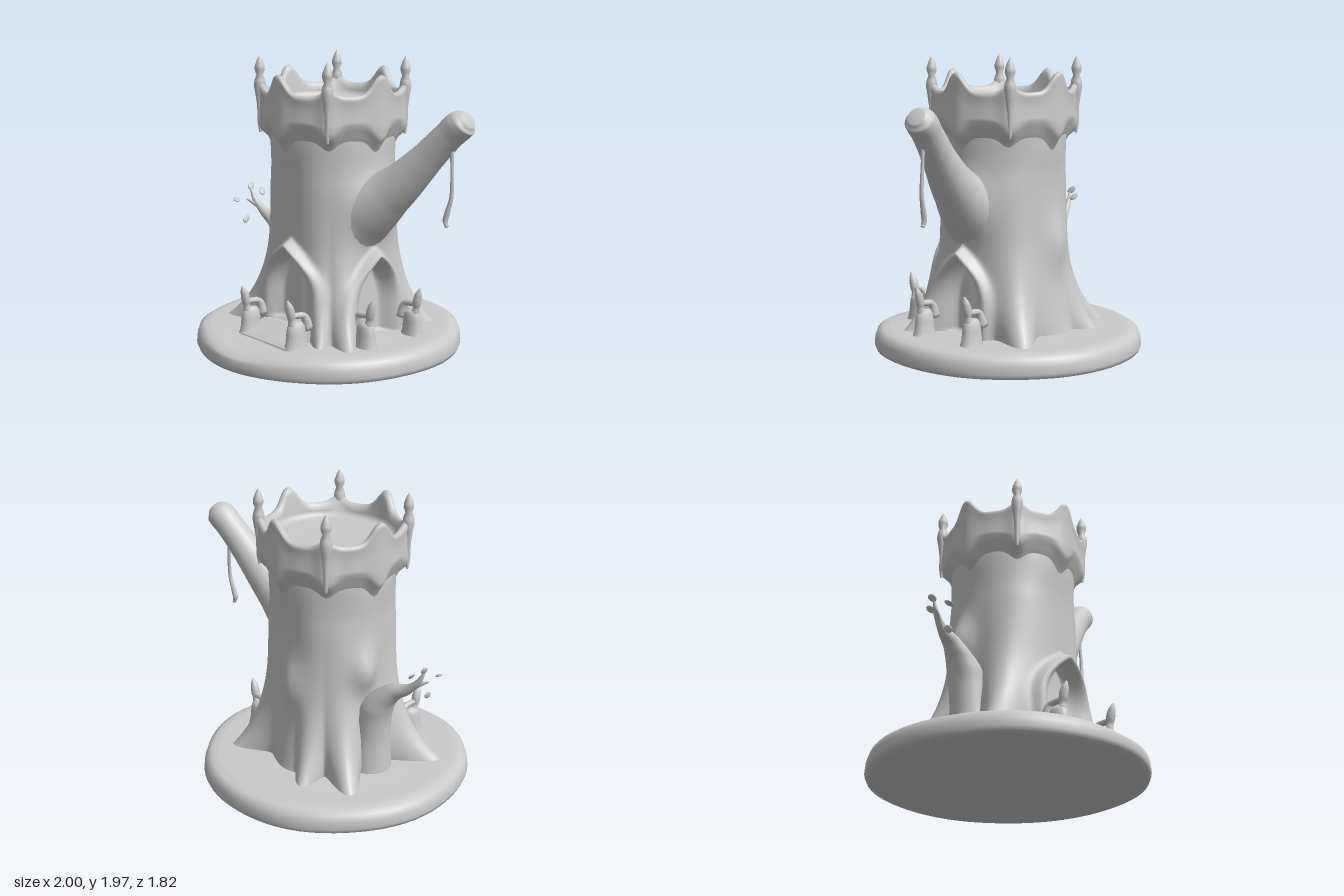
import * as THREE from 'three';

const CX = -0.065; // tower axis
const TAU = Math.PI * 2;
const material = new THREE.MeshStandardMaterial({ color: 0xcccccc, roughness: 0.8 });
const V = (x, y, z) => new THREE.Vector3(x, y, z);
const gauss = (d, w) => Math.exp(-((d / w) ** 2));
const wrap = (a) => Math.atan2(Math.sin(a), Math.cos(a));
const smooth = THREE.MathUtils.smoothstep;

function add(parent, name, geometry, x = 0, y = 0, z = 0) {
  const mesh = new THREE.Mesh(geometry, material);
  mesh.name = name;
  mesh.position.set(x, y, z);
  parent.add(mesh);
  return mesh;
}

// Surface of closed rings: fn(row, angle) gives each point
function ringSurface(rows, cols, fn) {
  const pos = [], idx = [];
  for (let i = 0; i < rows; i++)
    for (let j = 0; j < cols; j++) pos.push(...fn(i, (j / cols) * TAU));
  for (let i = 0; i < rows - 1; i++)
    for (let j = 0; j < cols; j++) {
      const a = i * cols + j, b = i * cols + ((j + 1) % cols);
      idx.push(a, b, a + cols, b, b + cols, a + cols);
    }
  const g = new THREE.BufferGeometry();
  g.setAttribute('position', new THREE.Float32BufferAttribute(pos, 3));
  g.setIndex(idx);
  g.computeVertexNormals();
  return g;
}
const polar = (t, r, y) => [r * Math.sin(t), y, r * Math.cos(t)];

// Tube whose radius follows its own list, closed at both ends
function taperTube(points, radii, rows = 32, cols = 16) {
  const curve = new THREE.CatmullRomCurve3(points.map((p) => V(...p)));
  const frames = curve.computeFrenetFrames(rows, false);
  return ringSurface(rows + 3, cols, (row, a) => {
    const i = Math.min(Math.max(row - 1, 0), rows), u = i / rows;
    const k = u * (radii.length - 1), n = Math.min(Math.floor(k), radii.length - 2);
    const end = row === 0 || row === rows + 2;
    const r = end ? 0 : THREE.MathUtils.lerp(radii[n], radii[n + 1], k - n);
    return curve.getPoint(u)
      .addScaledVector(frames.normals[i], r * Math.cos(a))
      .addScaledVector(frames.binormals[i], r * Math.sin(a)).toArray();
  });
}

const lathe = (profile, sides = 16) =>
  new THREE.LatheGeometry(profile.map(([r, y]) => new THREE.Vector2(r, y)), sides);

// Roots: [angle, reach, angular width]
const roots = [[-2.1, 0.29, 0.18], [-2.6, 0.2, 0.17], [2.48, 0.25, 0.2], [3.35, 0.07, 0.4],
  [-1.0, 0.33, 0.19], [1.0, 0.25, 0.18], [0.68, 0.18, 0.18]];
// Pointed doorways sunk into the trunk
const doors = [
  { angle: 0.08, half: 0.17, sill: 0.25, spring: 0.42, apex: 0.74, frame: 0.06 },
  { angle: Math.PI / 2, half: 0.14, sill: 0.16, spring: 0.34, apex: 0.67, frame: 0.065 },
];

function trunkRadius(t, y) {
  let r = 0.403 + 0.012 * smooth(y, 1.2, 1.45) + 0.025 * (1 - smooth(y, 0.2, 0.8));
  r += 0.012 * Math.cos(4 * t + Math.PI) * (1 - smooth(y, 1.1, 1.4));
  let flare = 0;
  for (const [a, reach, w] of roots) {
    const fade = Math.exp(-(y - 0.15) / 0.25);
    flare = Math.max(flare, reach * fade * gauss(wrap(t - a), w * (1.6 - 0.6 * fade)));
  }
  // bark swellings on the left, the back and around the big branch
  r += 0.075 * gauss(wrap(t + 1.75), 0.22) * gauss(y - 0.87, 0.15);
  r += 0.015 * gauss(wrap(t + 1.6), 0.35) * gauss(y - 1.1, 0.2);
  r += 0.045 * gauss(wrap(t - 3.3), 0.25) * gauss(y - 0.75, 0.17);
  r += 0.1 * gauss(wrap(t - 1.6), 0.45) * gauss(y - 1.03, 0.2);
  for (const d of doors) {
    const da = wrap(t - d.angle);
    if (Math.abs(da) > 1.3) continue;
    const rise = Math.max(0, (y - d.spring) / (d.apex - d.spring));
    const dist = (Math.abs(0.43 * Math.sin(da)) / d.half + rise ** 2.5 - 1) * d.half;
    const inside = 1 - smooth(dist, -0.035, 0.02);
    flare *= smooth(dist, 0, 0.1);
    r += (d.frame + 0.02 * smooth(y, 0.5, d.apex)) * gauss(dist - 0.04, 0.045);
    r -= 0.055 * inside * smooth(y, d.sill - 0.015, d.sill + 0.015);
  }
  return r + flare;
}

// Scalloped parapet: outside up, over the rim, down to the sunken deck
function crownPoint(row, t) {
  const dm = wrap(4 * t) / 4, dc = wrap(4 * t + Math.PI) / 4;
  const mid = gauss(dm, 0.18), corner = gauss(dc, 0.13);
  const low = 1.52 - 0.085 * gauss(dm, 0.16) - 0.06 * gauss(dc, 0.16);
  const top = 1.75 + 0.13 * mid + 0.045 * corner;
  const out = 0.457 + 0.018 * mid + 0.03 * corner;
  const h = top - low;
  const profile = [[0.39, low - 0.1], [0.415, low - 0.06], [0.43, low - 0.025],
    [out - 0.01, low + 0.015], [out + 0.006, low + 0.05], [out + 0.004, low + 0.3 * h],
    [out, low + 0.55 * h], [out, low + 0.8 * h], [out + 0.008, top - 0.03],
    [out + 0.004, top - 0.008], [out - 0.014, top], [out - 0.035, top - 0.012],
    [out - 0.05, top - 0.045], [0.415, 1.7], [0.405, 1.675], [0.385, 1.662], [0.35, 1.66], [0, 1.66]];
  return polar(t, ...profile[row]);
}

function basePoint(row, t) {
  const wob = 1 + 0.015 * Math.cos(t) ** 2 + 0.004 * Math.sin(7 * t + 1);
  const dip = 0.028 * gauss(wrap(t - 0.1), 0.38);
  const profile = [[0, 0], [0.85, 0], [0.885, 0.012], [0.897, 0.04], [0.892, 0.09],
    [0.878, 0.132 - dip], [0.845, 0.153 - dip], [0.79, 0.16 - dip], [0.72, 0.156 - dip / 2],
    [0.6, 0.158], [0, 0.17]];
  const [r, y] = profile[row];
  return polar(t, r * wob, y);
}

// Pedestal with a bent flame and a small arm reaching back to the wall
function lampStand(parent, x, z, turn) {
  const lamp = new THREE.Group();
  lamp.name = 'lampStand';
  lamp.position.set(x, 0, z);
  lamp.rotation.y = turn;
  const post = add(lamp, 'pedestal', lathe([[0.07, 0.14], [0.056, 0.18], [0.05, 0.25],
    [0.046, 0.29], [0.034, 0.318], [0, 0.328]]));
  post.scale.z = 1.4;
  add(lamp, 'flame', taperTube([[0, 0.27, 0.02], [0, 0.34, 0.035], [0, 0.4, 0.045],
    [0, 0.475, 0.068]], [0.03, 0.03, 0.022, 0.029, 0.03, 0.024, 0.006], 18, 10));
  add(lamp, 'arm', taperTube([[0, 0.365, 0.04], [0, 0.362, -0.02], [0, 0.35, -0.07],
    [0, 0.26, -0.1]], [0.02, 0.02, 0.024, 0.04], 14, 10));
  parent.add(lamp);
}

export function createModel() {
  const model = new THREE.Group();
  model.name = 'treeTower';

  add(model, 'base', ringSurface(11, 72, basePoint), -0.105, 0, 0);

  const rows = 120;
  add(model, 'trunk', ringSurface(rows, 192, (i, t) => {
    const y = 0.13 + (1.5 - 0.13) * (i / (rows - 1));
    return polar(t, trunkRadius(t, y), y);
  }), CX);
  add(model, 'crown', ringSurface(18, 128, crownPoint), CX);

  // Finials on the four corners, running down the crown as ridges
  const finial = lathe([[0.008, 1.46], [0.018, 1.52], [0.02, 1.64], [0.03, 1.71], [0.04, 1.77],
    [0.035, 1.81], [0.022, 1.84], [0.034, 1.875], [0.033, 1.9], [0.018, 1.94], [0, 1.97]], 12);
  for (const sx of [-1, 1])
    for (const sz of [-1, 1]) add(model, 'finial', finial, -0.07 + sx * 0.34, 0, sz * 0.34);

  // Front doorstep sloping down to the base
  const ramp = new THREE.Shape([[0.3, 0.12], [0.66, 0.12], [0.64, 0.162], [0.6, 0.18],
    [0.44, 0.235], [0.3, 0.25]].map(([z, y]) => new THREE.Vector2(-z, y)));
  const step = add(model, 'doorstep', new THREE.ExtrudeGeometry(ramp,
    { depth: 0.46, bevelEnabled: false }), -0.26);
  step.rotation.y = Math.PI / 2;

  for (const x of [-0.27, 0.2]) lampStand(model, x, 0.55, 0);
  for (const z of [-0.21, 0.21]) lampStand(model, 0.49, z, Math.PI / 2);

  // Big branch with a blunt end and a hanging vine
  add(model, 'bigBranch', taperTube([[0.12, 0.9, 0.02], [0.34, 1.05, -0.02], [0.5, 1.17, -0.06],
    [0.66, 1.335, -0.11], [0.8, 1.49, -0.155], [0.9, 1.59, -0.185], [0.965, 1.635, -0.2]],
  [0.28, 0.225, 0.19, 0.158, 0.138, 0.12, 0.106, 0.099, 0.096, 0.099, 0.094, 0.055], 48, 24));
  add(model, 'vine', taperTube([[0.865, 1.5, -0.16], [0.87, 1.35, -0.16], [0.875, 1.15, -0.155],
    [0.85, 1.04, -0.145], [0.84, 0.985, -0.14], [0.855, 0.95, -0.14]],
  [0.015, 0.011, 0.013, 0.018, 0.018, 0.012], 40, 8));

  // Small branch with twigs and leaves
  add(model, 'smallBranch', taperTube([[-0.45, 0.13, 0], [-0.47, 0.4, 0], [-0.52, 0.63, 0],
    [-0.65, 0.765, 0.02], [-0.77, 0.825, 0.04], [-0.85, 0.91, 0.06], [-0.88, 0.985, 0.07]],
  [0.15, 0.125, 0.115, 0.062, 0.032, 0.018, 0.005], 40, 16));
  add(model, 'twig', taperTube([[-0.8, 0.845, 0.045], [-0.85, 0.88, 0.08], [-0.89, 0.9, 0.1]],
    [0.018, 0.012, 0.004], 10, 8));
  const leaf = new THREE.SphereGeometry(1, 8, 6);
  for (const [x, y, z, tilt] of [[-0.885, 0.99, 0.06, 0.3], [-0.835, 0.95, 0, 0.5],
    [-0.875, 0.91, 0.2, 0.9], [-0.83, 0.77, 0.15, 0.2]]) {
    const mesh = add(model, 'leaf', leaf, x, y, z);
    mesh.scale.set(0.008, 0.024, 0.035);
    mesh.rotation.set(0.6, tilt, tilt);
  }
  return model;
}
